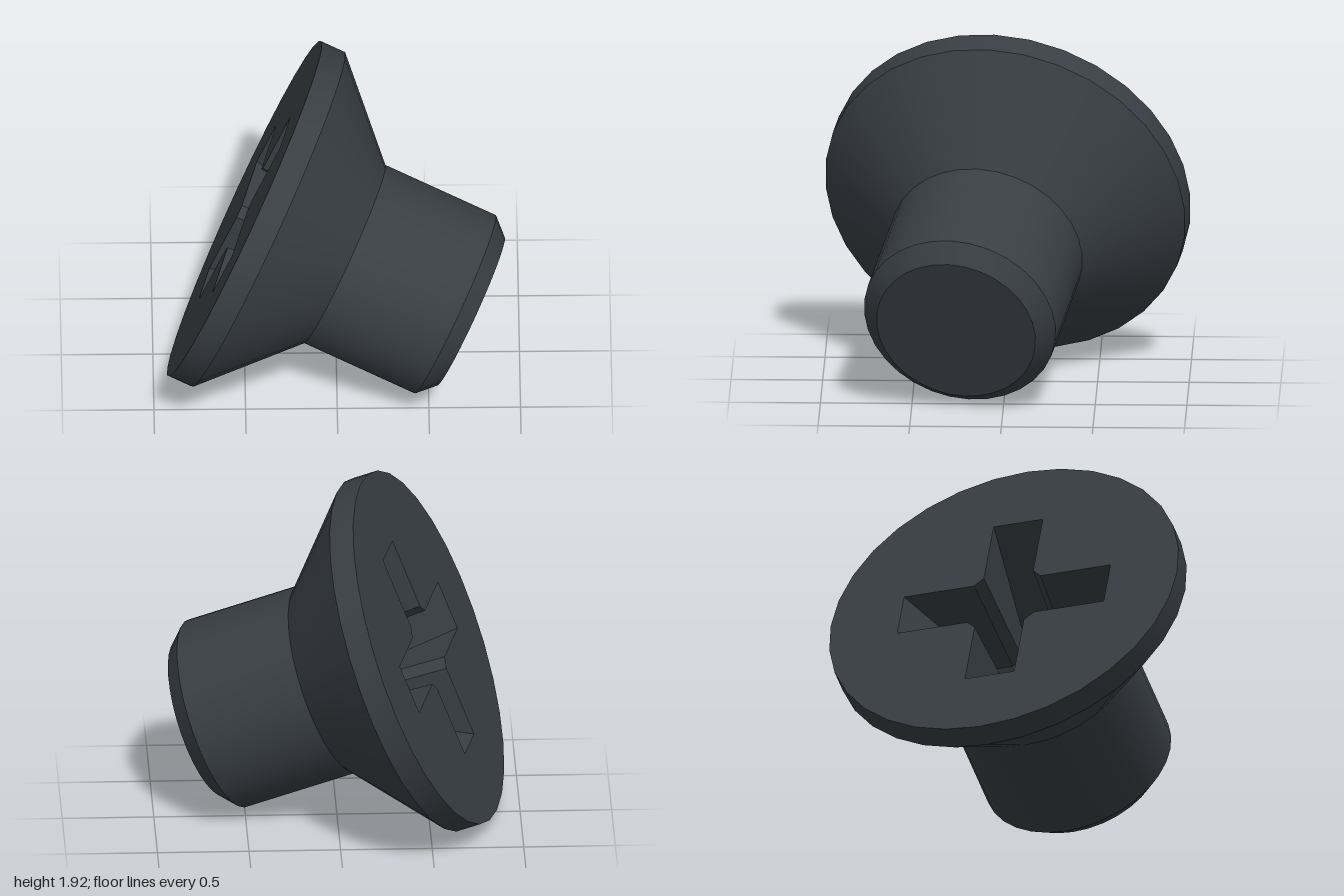
import * as THREE from 'three';
import { toCreasedNormals } from 'three/addons/utils/BufferGeometryUtils.js';

const SIDES = 32, R = 1.007;

// Outline of the cross-shaped recess: arm length, half width, inner corner bevel
function crossOutline(length, half, bevel) {
  const points = [];
  for (let i = 0; i < 4; i++) {
    const quarter = [[length, -half], [length, half], [half + bevel, half], [half, half + bevel]];
    for (const [x, y] of quarter) {
      points.push(new THREE.Vector2(x, y).rotateAround(new THREE.Vector2(), i * Math.PI / 2));
    }
  }
  return points;
}

// Inward-facing walls between outlines that get smaller with depth
function recessGeometry(levels) {
  const positions = [];
  const put = (level, i) => {
    const p = level.outline[i % level.outline.length];
    positions.push(p.x, -level.depth, -p.y);
  };
  for (let k = 0; k < levels.length - 1; k++) {
    const a = levels[k], b = levels[k + 1];
    for (let i = 0; i < a.outline.length; i++) {
      put(a, i); put(a, i + 1); put(b, i + 1);
      put(a, i); put(b, i + 1); put(b, i);
    }
  }
  const geometry = new THREE.BufferGeometry();
  geometry.setAttribute('position', new THREE.Float32BufferAttribute(positions, 3));
  geometry.computeVertexNormals();
  return geometry;
}

export function createModel() {
  const steel = new THREE.MeshStandardMaterial({ color: 0x383e44 });
  steel.name = 'darkSteel';

  const screw = new THREE.Group();
  screw.name = 'screw';
  const add = (name, geometry) => {
    const mesh = new THREE.Mesh(geometry, steel);
    mesh.name = name;
    screw.add(mesh);
  };

  // Chamfered shank, countersunk cone and rim
  const profile = [
    [0, -1.36], [0.445, -1.36], [0.536, -1.265], [0.536, -0.6], [R, -0.14], [R, 0],
  ].map(([r, y]) => new THREE.Vector2(r, y));
  add('shankAndHead', toCreasedNormals(new THREE.LatheGeometry(profile, SIDES), 0.5));

  // Flat head face with the cross cut out
  const disc = [];
  for (let i = 0; i < SIDES; i++) {
    const a = i / SIDES * Math.PI * 2;
    disc.push(new THREE.Vector2(R * Math.cos(a), R * Math.sin(a)));
  }
  const opening = crossOutline(0.6, 0.143, 0.05);
  const face = new THREE.Shape(disc);
  face.holes.push(new THREE.Path(opening));
  add('headFace', new THREE.ShapeGeometry(face).rotateX(-Math.PI / 2));

  // Tapering drive recess closing to a shallow point
  add('driveRecess', recessGeometry([
    { depth: 0, outline: opening },
    { depth: 0.6, outline: crossOutline(0.3, 0.12, 0.05) },
    { depth: 0.7, outline: crossOutline(0.003, 0.001, 0.001) },
  ]));

  // Lean the screw so that it rests on its rim and tip
  const out = new THREE.Vector3(-0.905, 0.377, -0.197).normalize();
  const across = new THREE.Vector3(-0.213, 0, 0.977);
  across.addScaledVector(out, -across.dot(out)).normalize();
  const third = new THREE.Vector3().crossVectors(across, out);
  screw.quaternion.setFromRotationMatrix(new THREE.Matrix4().makeBasis(across, out, third));
  screw.position.set(-0.5, 0.98, -0.014);

  const model = new THREE.Group();
  model.name = 'countersunkScrew';
  model.add(screw);
  return model;
}
